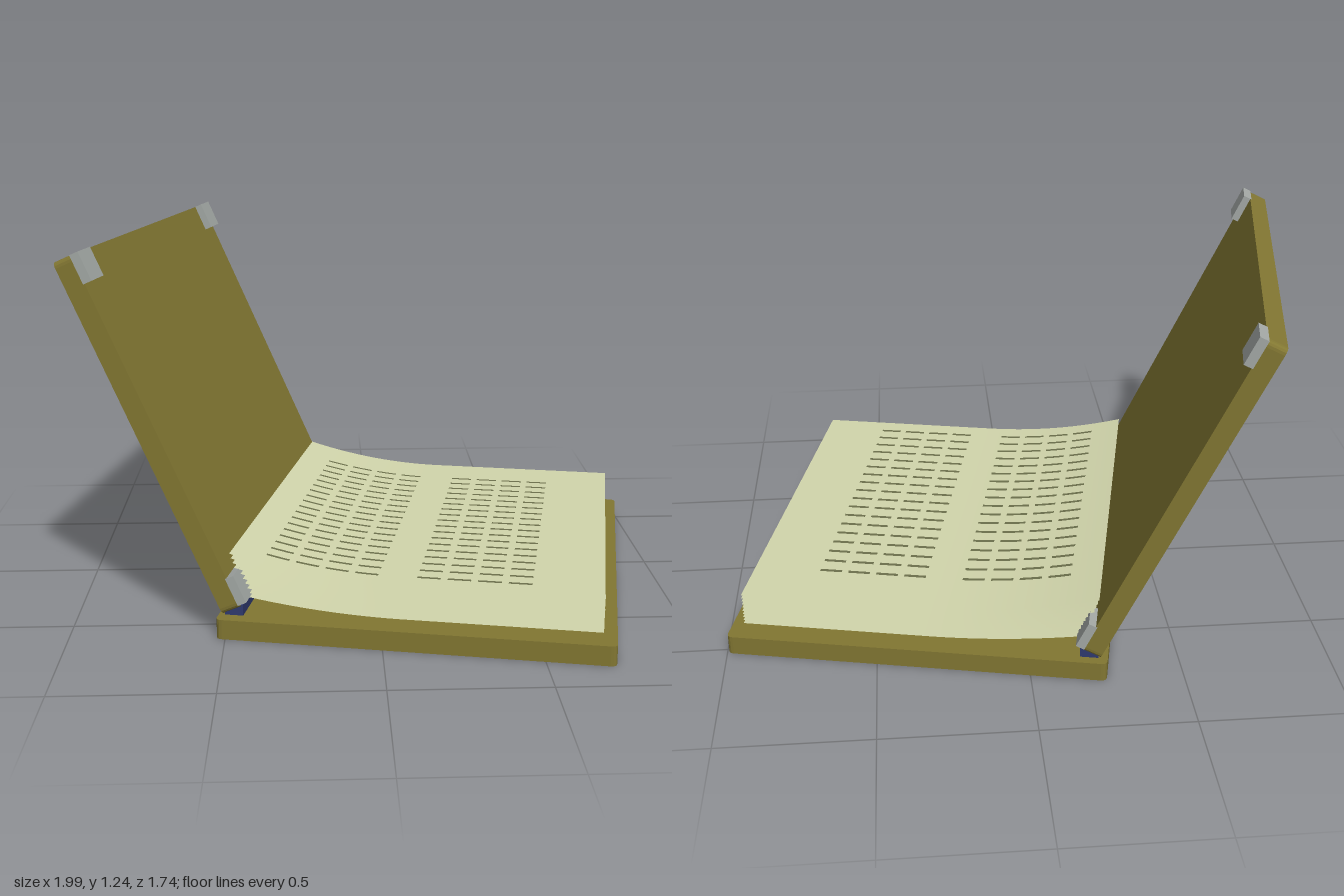
import * as THREE from 'three';

const mat = (name, color, double) => {
  const m = new THREE.MeshStandardMaterial({ color });
  m.name = name;
  if (double) m.side = THREE.DoubleSide;
  return m;
};

// Flat board with slightly rounded corners: x from 0 to w, y from 0 to t, z centred
function board(w, d, t, r) {
  const s = new THREE.Shape();
  const h = d / 2;
  s.moveTo(r, -h);
  s.lineTo(w - r, -h);
  s.quadraticCurveTo(w, -h, w, -h + r);
  s.lineTo(w, h - r);
  s.quadraticCurveTo(w, h, w - r, h);
  s.lineTo(r, h);
  s.quadraticCurveTo(0, h, 0, h - r);
  s.lineTo(0, -h + r);
  s.quadraticCurveTo(0, -h, r, -h);
  const g = new THREE.ExtrudeGeometry(s, { depth: t, bevelEnabled: false, curveSegments: 4 });
  return g.rotateX(-Math.PI / 2);
}

const SHEETS = 10, RIGHT = 0.83, PAGE_DEPTH = 1.3;

// Left end of sheet k (0 = bottom, 1 = top) and its height at position x
const sheetLeft = k => THREE.MathUtils.lerp(-0.315, -0.36, k);
function sheetHeight(k, x) {
  const t = Math.min(1, (x - sheetLeft(k)) / 0.52);
  const lift = THREE.MathUtils.lerp(0.045, 0.075, k);
  return 0.083 + 0.112 * k + lift * (1 - t) ** 2;
}

// Thin patch lying on the curve of sheet k
function patch(k, x0, x1, z, depth, segments, raise) {
  const g = new THREE.PlaneGeometry(x1 - x0, depth, segments, 1);
  g.rotateX(-Math.PI / 2).translate((x0 + x1) / 2, 0, z);
  const p = g.attributes.position;
  for (let i = 0; i < p.count; i++) p.setY(i, sheetHeight(k, p.getX(i)) + raise);
  g.computeVertexNormals();
  return g;
}

export function createModel() {
  const model = new THREE.Group();
  model.name = 'openBook';
  const coverMat = mat('olive cover', 0x827732);
  const paperMat = mat('paper', 0xd2d6ac, true);
  const inkMat = mat('ink', 0x6c704c, true);
  const claspMat = mat('grey metal', 0xa4a9a6);
  const spineMat = mat('navy spine', 0x2f3a70);

  const add = (parent, name, geometry, material, x = 0, y = 0, z = 0) => {
    const m = new THREE.Mesh(geometry, material);
    m.name = name;
    m.position.set(x, y, z);
    parent.add(m);
    return m;
  };

  // Back cover lying flat
  add(model, 'backCover', board(1.268, 1.42, 0.066, 0.02), coverMat, -0.395, 0, 0);

  // Front cover standing open, with metal corners on its inner face
  const front = new THREE.Group();
  front.name = 'frontCover';
  front.position.set(-0.311, 0.112, 0);
  front.rotation.z = THREE.MathUtils.degToRad(114.2);
  model.add(front);
  const length = 1.222;
  add(front, 'frontBoard', board(length, 1.42, 0.065, 0.02), coverMat);
  for (const side of [-1, 1]) {
    for (const x of [0.058, length - 0.048]) {
      add(front, 'cornerClasp', new THREE.BoxGeometry(0.097, 0.03, 0.105), claspMat,
        x, -0.0105, side * 0.659);
    }
  }

  // Spine strip under the raised page ends
  add(model, 'spine', new THREE.BoxGeometry(0.06, 0.036, 1.4), spineMat, -0.335, 0.1, 0);

  // Stack of loose sheets, curling up towards the spine
  const pages = new THREE.Group();
  pages.name = 'pages';
  model.add(pages);
  for (let i = 0; i < SHEETS; i++) {
    const k = i / (SHEETS - 1);
    add(pages, 'page', patch(k, sheetLeft(k), RIGHT, 0, PAGE_DEPTH, 32, 0), paperMat);
  }

  // Two columns of dashes on the top page
  const text = new THREE.Group();
  text.name = 'textLines';
  model.add(text);
  for (const start of [-0.255, 0.237]) {
    for (let row = 0; row < 18; row++) {
      for (let n = 0; n < 4; n++) {
        const x = start + n * 0.097;
        add(text, 'dash', patch(1, x, x + 0.075, -0.473 + row * 0.0616, 0.013, 4, 0.003), inkMat);
      }
    }
  }

  // The whole book is turned slightly
  model.rotation.y = THREE.MathUtils.degToRad(-11.6);
  const root = new THREE.Group();
  root.name = 'book';
  root.add(model);
  return root;
}
